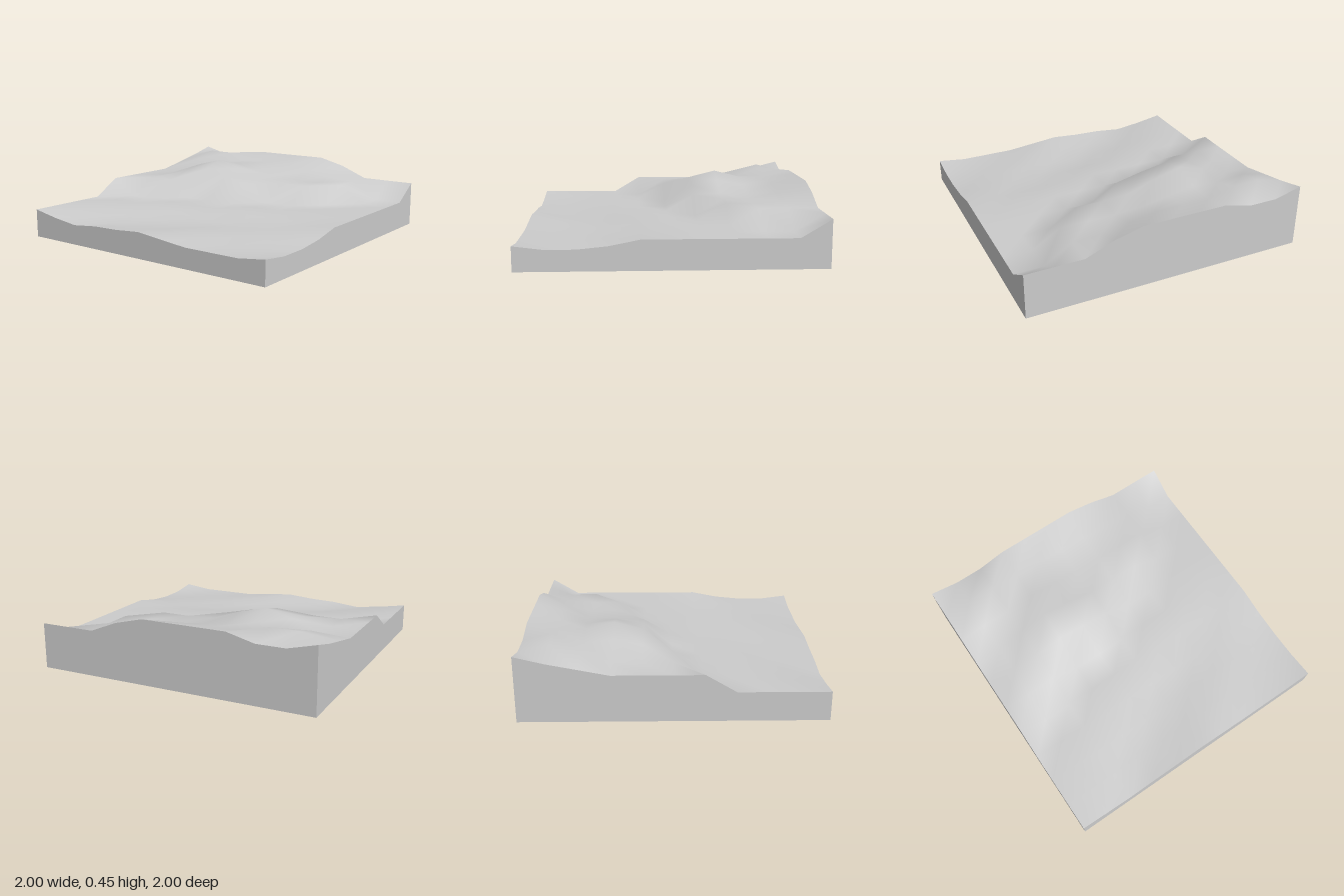
import * as THREE from 'three';

const N = 10; // cells per side
const SIZE = 2;

// Ground heights in hundredths: rows run back to front, columns from -x to +x.
const HEIGHTS = [
  [45, 40, 40, 45, 45, 45, 45, 40, 32, 32, 32], // back ridge
  [40, 45, 45, 40, 40, 40, 36.5, 33, 32, 20, 20],
  [36, 40, 38, 40, 36.5, 33, 32, 32, 32, 20, 20], // plateau
  [32, 32, 40, 45, 40, 33, 32, 32, 20, 20, 20], // hilltop
  [32, 32, 36.5, 40, 36.5, 32, 20, 20, 20, 20, 20],
  [32, 32, 32, 20, 20, 20, 20, 20, 20, 20, 20], // foot of the slope
  [32, 20, 20, 20, 20, 20, 20, 19, 18, 18, 20],
  [20, 20, 20, 20, 18.5, 17, 16, 16, 16.5, 17, 16], // diagonal valley
  [20, 20, 18.5, 17, 15.5, 15, 16, 16.5, 16, 15, 14], // low bank
  [20, 18.5, 16.5, 14.5, 15, 16, 17, 16, 14.5, 14, 14],
  [20, 16.5, 14, 16, 16.5, 18, 16, 14, 14, 14, 16.5], // front hollows
];
const heightAt = (col, row) => HEIGHTS[row][col] / 100;

function makeTerrain(material) {
  const geo = new THREE.PlaneGeometry(SIZE, SIZE, N, N).rotateX(-Math.PI / 2);
  const pos = geo.attributes.position;
  for (let i = 0; i < pos.count; i++) {
    pos.setY(i, heightAt(i % (N + 1), Math.floor(i / (N + 1))));
  }
  geo.computeVertexNormals();
  const mesh = new THREE.Mesh(geo, material);
  mesh.name = 'terrain';
  return mesh;
}

// Upright skirt wall whose top follows the ground, seen from outside left to right.
function makeWall(name, turn, topHeight, material) {
  const geo = new THREE.PlaneGeometry(SIZE, 1, N, 1);
  const pos = geo.attributes.position;
  for (let i = 0; i <= N; i++) {
    pos.setY(i, topHeight(i));
    pos.setY(i + N + 1, 0);
  }
  geo.translate(0, 0, SIZE / 2).rotateY(turn);
  const mesh = new THREE.Mesh(geo, material);
  mesh.name = name;
  return mesh;
}

export function createModel() {
  const material = new THREE.MeshStandardMaterial({ color: 0xcccccc, side: THREE.DoubleSide });
  const group = new THREE.Group();
  group.name = 'terrainTile';
  group.add(makeTerrain(material));

  // Four walls around an open underside
  const walls = [
    ['frontWall', 0, (i) => heightAt(i, N)],
    ['leftWall', Math.PI / 2, (i) => heightAt(N, N - i)],
    ['backWall', Math.PI, (i) => heightAt(N - i, 0)],
    ['rightWall', -Math.PI / 2, (i) => heightAt(0, i)],
  ];
  for (const [name, turn, top] of walls) group.add(makeWall(name, turn, top, material));
  return group;
}
